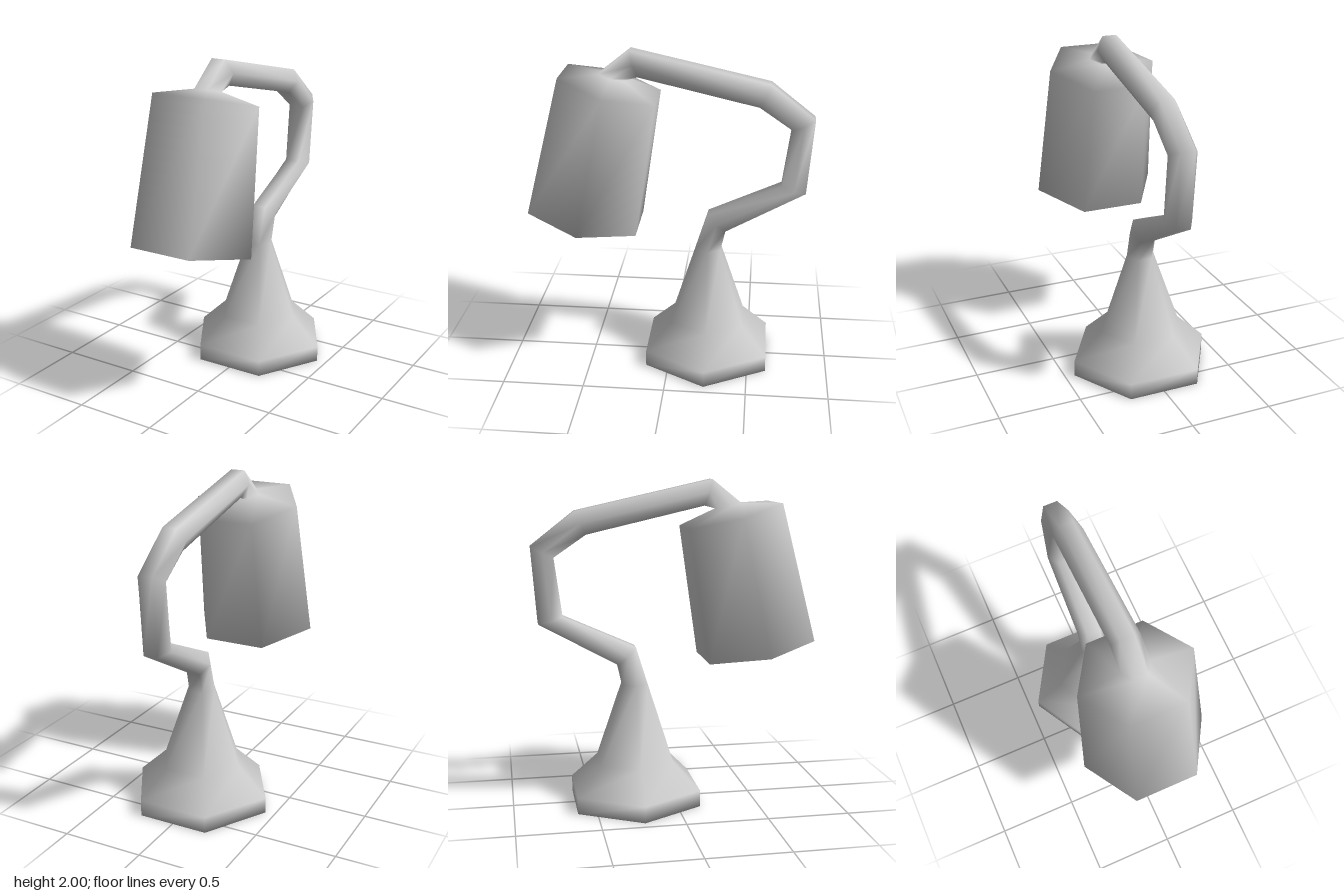
import * as THREE from 'three';

const SIDES = 6;

// Hexagonal sections along the lamp: half-width in x, then the (z, y) of the
// two edges of the section: the inner side of the bend, then the outer side.
const SECTIONS = [
  // base
  [0.44, 0.14, 0, -0.617, 0],
  [0.44, 0.14, 0.1, -0.617, 0.1],
  [0.26, -0.015, 0.27, -0.46, 0.27],
  [0.088, -0.158, 0.75, -0.312, 0.75],
  // arm
  [0.088, -0.23, 0.985, -0.34, 0.877],
  [0.088, -0.673, 1.187, -0.82, 1.145],
  [0.088, -0.72, 1.545, -0.855, 1.61],
  [0.088, -0.525, 1.678, -0.59, 1.817],
  [0.088, 0.195, 1.842, 0.243, 2.0],
  [0.088, 0.278, 1.82, 0.425, 1.855],
  // shade
  [0.342, 0.08, 1.71, 0.648, 1.858],
  [0.392, 0.2, 0.893, 0.86, 1.015],
];

export function createModel() {
  const positions = [];
  for (const [r, z1, y1, z2, y2] of SECTIONS) {
    for (let k = 0; k < SIDES; k++) {
      const a = (k / SIDES) * Math.PI * 2;
      const s = Math.sin(a) / Math.sin(Math.PI / 3); // flat sides face the bend
      positions.push(
        r * Math.cos(a),
        (y1 + y2) / 2 + (s * (y1 - y2)) / 2,
        (z1 + z2) / 2 + (s * (z1 - z2)) / 2
      );
    }
  }

  // Wall between consecutive sections
  const walls = (from, to) => {
    const index = [];
    for (let i = from; i < to; i++) {
      for (let k = 0; k < SIDES; k++) {
        const a = i * SIDES + k;
        const b = i * SIDES + ((k + 1) % SIDES);
        index.push(a, a + SIDES, b, b, a + SIDES, b + SIDES);
      }
    }
    return index;
  };

  // Flat end closing a section
  const cap = (i, flip) => {
    const index = [];
    for (let k = 1; k < SIDES - 1; k++) {
      const o = i * SIDES;
      index.push(o, o + k + (flip ? 1 : 0), o + k + (flip ? 0 : 1));
    }
    return index;
  };

  const last = SECTIONS.length - 1;
  const parts = {
    base: [...cap(0, false), ...walls(0, 3)],
    arm: walls(3, 9),
    shade: [...walls(9, last), ...cap(last, true)],
  };

  // Normals are smoothed over the whole skin, then shared by the parts
  const skin = new THREE.BufferGeometry();
  skin.setAttribute('position', new THREE.Float32BufferAttribute(positions, 3));
  skin.setIndex(Object.values(parts).flat());
  skin.computeVertexNormals();

  const material = new THREE.MeshStandardMaterial({ color: 0xcccccc });
  const group = new THREE.Group();
  group.name = 'deskLamp';
  for (const [name, index] of Object.entries(parts)) {
    const geometry = skin.clone();
    geometry.setIndex(index);
    const mesh = new THREE.Mesh(geometry, material);
    mesh.name = name;
    group.add(mesh);
  }
  return group;
}
